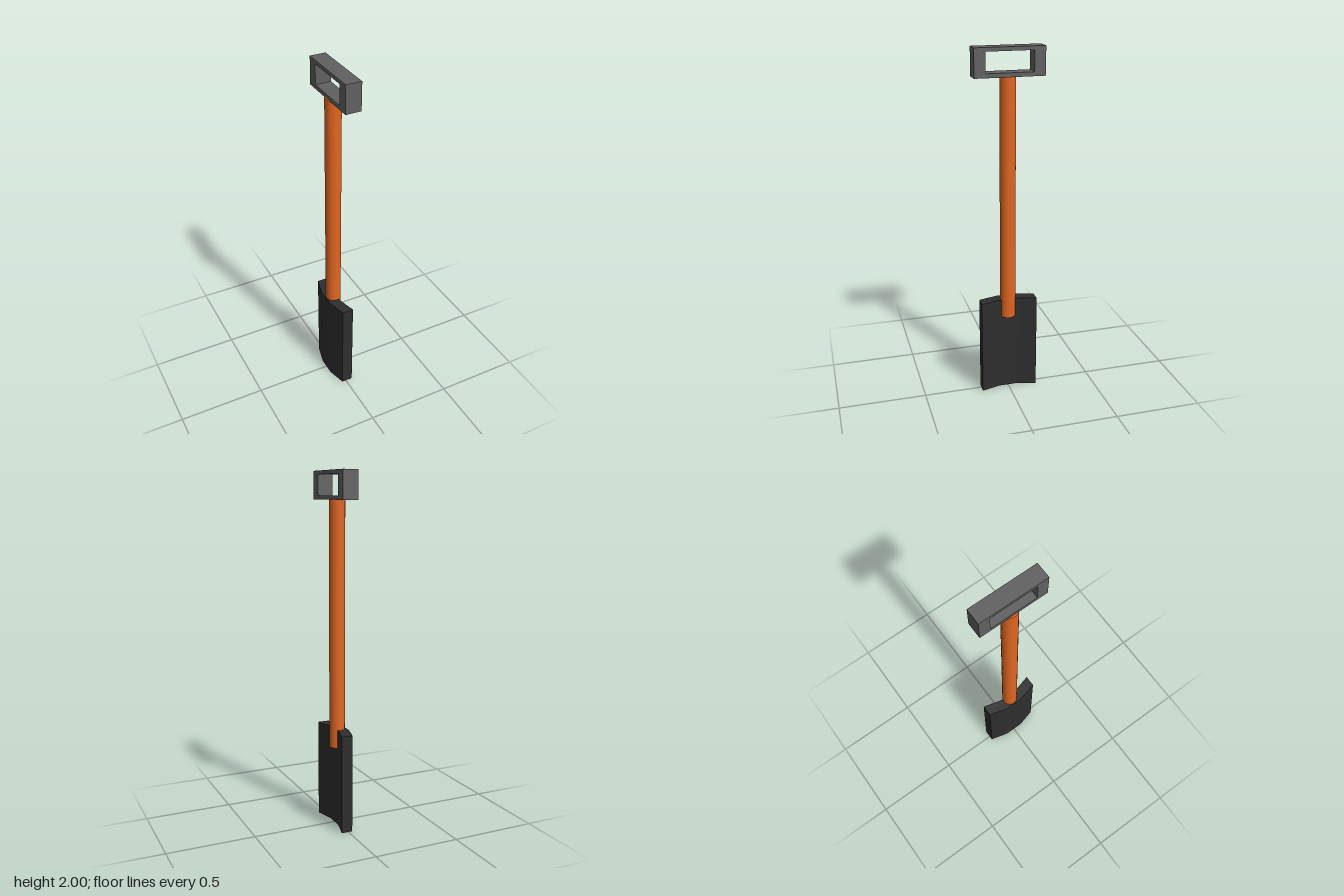
import * as THREE from 'three';

export function createModel() {
  const model = new THREE.Group();
  const paint = (name, color) => {
    const m = new THREE.MeshStandardMaterial({ color });
    m.name = name;
    return m;
  };
  const wood = paint('orange shaft', 0xe06622);
  const grey = paint('grey grip', 0x606060);
  const dark = paint('dark blade', 0x2e2e2e);

  const add = (name, geometry, material) => {
    const mesh = new THREE.Mesh(geometry, material);
    mesh.name = name;
    model.add(mesh);
    return mesh;
  };
  const polygon = (points) => points.map(([a, b]) => new THREE.Vector2(a, b));
  const extrude = (shape, depth) =>
    new THREE.ExtrudeGeometry(shape, { depth, bevelEnabled: false });

  // Blade: a three-facet curved section, hollow towards +x, drawn as (x, -z)
  const section = polygon([
    [-0.024, -0.163], [0.041, -0.163], [0.012, -0.055], [0.012, 0.055],
    [0.041, 0.163], [-0.024, 0.163], [-0.052, 0.055], [-0.052, -0.055],
  ]);
  add('blade', extrude(new THREE.Shape(section), 0.565).rotateX(-Math.PI / 2), dark);

  // Shaft: runs from the grip into the hollow of the blade
  const bottom = 0.46, top = 1.85;
  const shaft = add('shaft', new THREE.CylinderGeometry(0.044, 0.044, top - bottom, 32), wood);
  shaft.position.set(-0.004, (bottom + top) / 2, -0.001);

  // Grip: rectangular frame, drawn as (-z, y) and extruded along x
  const rect = (w, y0, y1) => polygon([[-w, y0], [w, y0], [w, y1], [-w, y1]]);
  const frame = new THREE.Shape(rect(0.192, 1.845, 2));
  frame.holes.push(new THREE.Path(rect(0.131, 1.868, 1.979)));
  const grip = add('grip', extrude(frame, 0.088).rotateY(Math.PI / 2), grey);
  grip.position.x = -0.037;

  return model;
}
